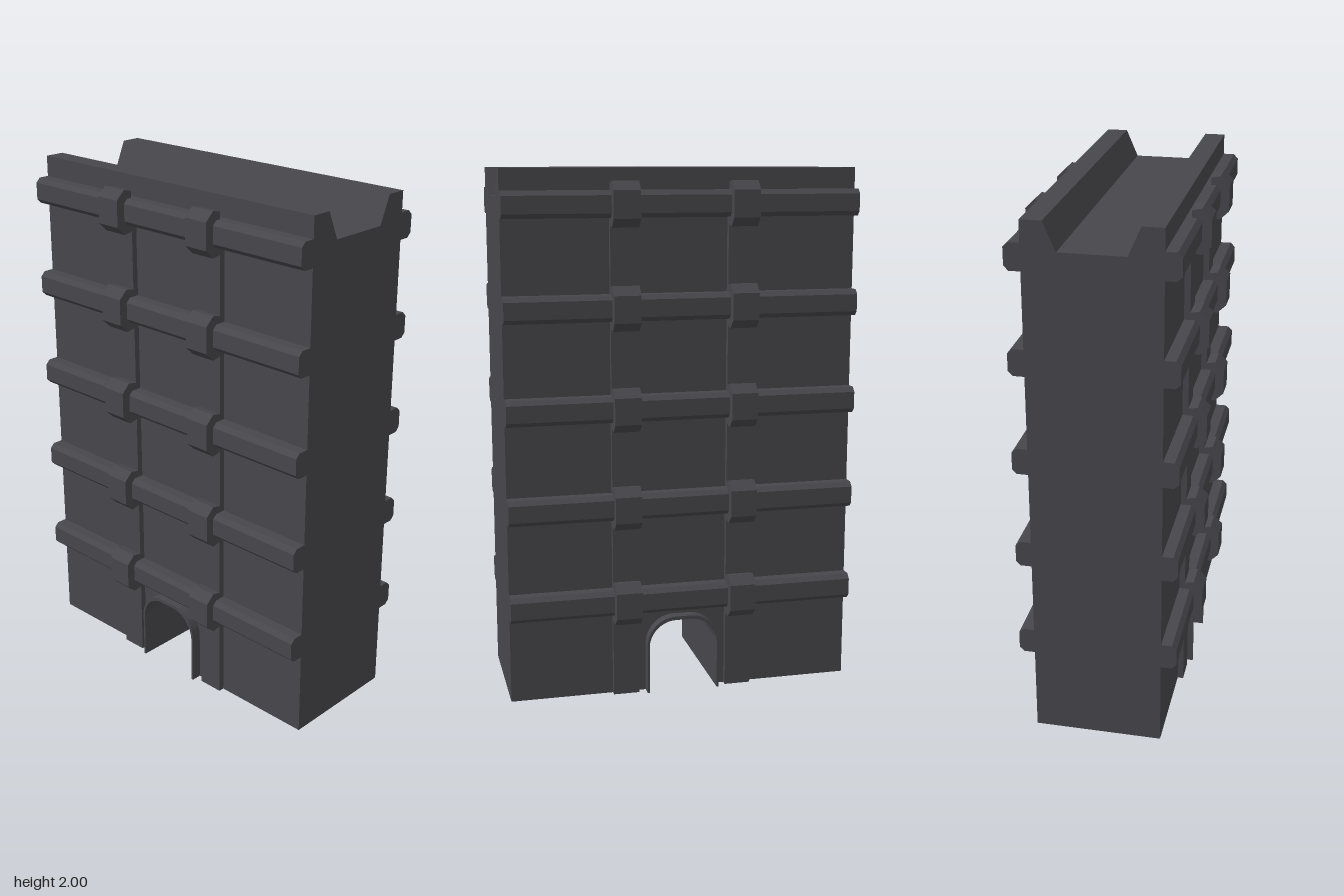
import * as THREE from 'three';

const WIDTH = 1.333, FACE = 0.24, RAILS = 5, STEP = 0.374, TOP_RAIL = 1.873;

// Extrude a [z, y] profile along x, centred at x
function alongX(profile, length, x, material, name) {
  const shape = new THREE.Shape(profile.map(([z, y]) => new THREE.Vector2(z, y)));
  const geometry = new THREE.ExtrudeGeometry(shape, { depth: length, bevelEnabled: false });
  geometry.rotateY(-Math.PI / 2).translate(x + length / 2, 0, 0);
  const mesh = new THREE.Mesh(geometry, material);
  mesh.name = name;
  return mesh;
}

// Extrude an xy shape along z, centred on z = 0
function alongZ(shape, depth, material, name) {
  const geometry = new THREE.ExtrudeGeometry(shape, { depth, bevelEnabled: false, curveSegments: 10 });
  geometry.translate(0, 0, -depth / 2);
  const mesh = new THREE.Mesh(geometry, material);
  mesh.name = name;
  return mesh;
}

// Round-shouldered arch outline running from the right foot to the left foot
function archPoints(halfWidth, height, radius) {
  const path = new THREE.Path();
  path.moveTo(halfWidth, 0);
  path.lineTo(halfWidth, height - radius);
  path.absarc(halfWidth - radius, height - radius, radius, 0, Math.PI / 2, false);
  path.absarc(radius - halfWidth, height - radius, radius, Math.PI / 2, Math.PI, false);
  path.lineTo(-halfWidth, 0);
  return path.getPoints(10);
}

export function createModel() {
  const model = new THREE.Group();
  model.name = 'wallSegment';
  const stone = new THREE.MeshStandardMaterial({ color: 0x47464b });
  stone.name = 'dark grey';

  // Lower wall with the passage cut through it
  const w = WIDTH / 2, seam = 0.38;
  const lower = new THREE.Shape([
    new THREE.Vector2(w, 0), new THREE.Vector2(w, seam),
    new THREE.Vector2(-w, seam), new THREE.Vector2(-w, 0),
    ...archPoints(0.138, 0.296, 0.108).reverse(),
  ]);
  model.add(alongZ(lower, FACE * 2, stone, 'lowerWall'));

  // Upper wall with a flared walkway channel along the top
  model.add(alongX([
    [-FACE, seam], [FACE, seam], [FACE, 2], [0.163, 2], [0.118, 1.897],
    [-0.118, 1.897], [-0.163, 2], [-FACE, 2],
  ], WIDTH, 0, stone, 'upperWall'));

  // Thin lining that projects from both ends of the passage
  const lining = new THREE.Shape([
    ...archPoints(0.142, 0.303, 0.112),
    ...archPoints(0.134, 0.289, 0.104).reverse(),
  ]);
  model.add(alongZ(lining, 0.56, stone, 'passageLining'));

  // Rails, clasps and straps, repeated on the back by a half turn
  for (const side of ['front', 'back']) {
    const face = new THREE.Group();
    face.name = side + 'Bracing';
    for (let i = 0; i < RAILS; i++) {
      const y = TOP_RAIL - i * STEP;
      face.add(alongX([
        [0.22, y - 0.049], [0.281, y - 0.049], [0.298, y - 0.032],
        [0.298, y + 0.032], [0.281, y + 0.049], [0.22, y + 0.049],
      ], WIDTH, 0, stone, 'rail'));
      for (const x of [-0.222, 0.222]) {
        face.add(alongX([
          [0.262, y - 0.076], [0.297, y - 0.083], [0.332, y - 0.05],
          [0.332, y + 0.05], [0.297, y + 0.083], [0.262, y + 0.076],
        ], 0.1, x, stone, 'clasp'));
      }
    }
    for (const x of [-0.222, 0.222]) {
      face.add(alongX([
        [0.23, 0], [0.262, 0], [0.262, TOP_RAIL + 0.049], [0.23, TOP_RAIL + 0.049],
      ], 0.1, x, stone, 'strap'));
    }
    if (side === 'back') face.rotation.y = Math.PI;
    model.add(face);
  }
  return model;
}
